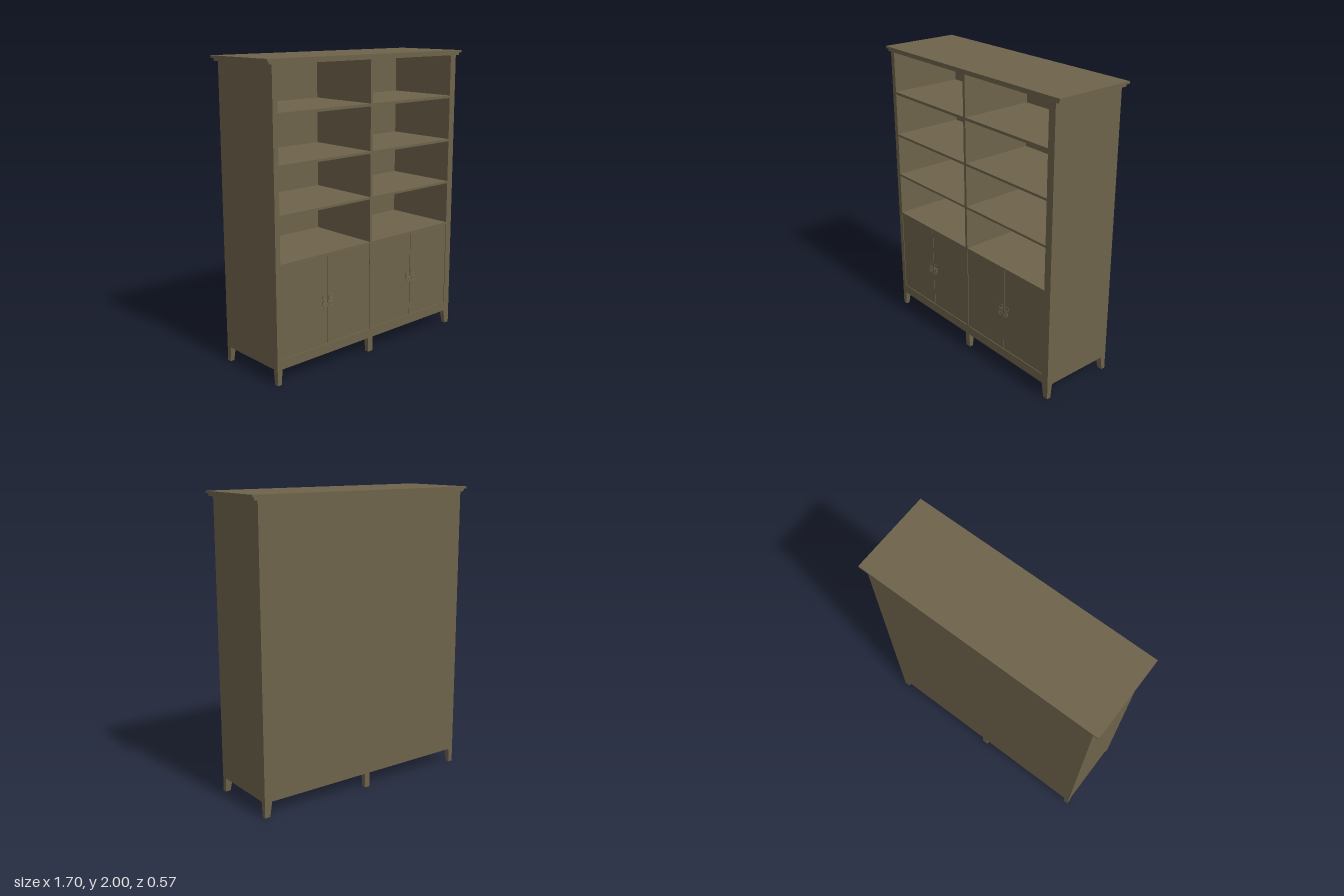
import * as THREE from 'three';

export function createModel() {
  const group = new THREE.Group();
  const wood = new THREE.MeshStandardMaterial({ color: 0x6e634b, flatShading: true });
  const metal = new THREE.MeshStandardMaterial({ color: 0x6e634b, flatShading: true });

  // Box given by its limits on each axis
  const box = (name, x0, x1, y0, y1, z0, z1) => {
    const mesh = new THREE.Mesh(new THREE.BoxGeometry(x1 - x0, y1 - y0, z1 - z0), wood);
    mesh.position.set((x0 + x1) / 2, (y0 + y1) / 2, (z0 + z1) / 2);
    mesh.name = name;
    group.add(mesh);
    return mesh;
  };

  const L = -0.808, R = 0.804, BACK = -0.266, FRONT = 0.27;
  const BASE = 0.1, FLOOR = 0.165, TOP = 1.967;
  const bays = [[-0.772, -0.02], [0, 0.752]];

  // Carcass
  box('leftSidePanel', bays[1][1], R, BASE, TOP, BACK, FRONT);
  box('rightSidePanel', L, bays[0][0], BASE, TOP, BACK, FRONT);
  box('centreDivider', bays[0][1], bays[1][0], FLOOR, TOP, BACK + 0.014, FRONT);
  box('backPanel', bays[0][0], bays[1][1], BASE, TOP, BACK, BACK + 0.014);
  box('basePlinth', bays[0][0], bays[1][1], BASE, FLOOR, BACK + 0.014, FRONT);

  // Stepped cornice
  box('corniceMoulding', -0.832, 0.832, TOP, 1.985, -0.274, 0.274);
  box('topBoard', -0.848, 0.848, 1.985, 2, -0.283, 0.283);

  // Drop pull: back plate, pivot and a tilted flared drop
  const dropShape = new THREE.Shape([
    [-0.008, 0], [-0.011, -0.016], [-0.02, -0.024], [-0.019, -0.036], [-0.013, -0.048],
    [0.013, -0.048], [0.019, -0.036], [0.02, -0.024], [0.011, -0.016], [0.008, 0],
  ].map(([x, y]) => new THREE.Vector2(x, y)));
  dropShape.holes.push(new THREE.Path([
    [-0.011, -0.026], [0.011, -0.026], [0.008, -0.039], [-0.008, -0.039],
  ].map(([x, y]) => new THREE.Vector2(x, y))));
  const dropGeo = new THREE.ExtrudeGeometry(dropShape, { depth: 0.004, bevelEnabled: false });
  const plateShape = new THREE.Shape([
    [-0.017, 0.03], [-0.012, -0.03], [0.012, -0.03], [0.017, 0.03],
  ].map(([x, y]) => new THREE.Vector2(x, y)));
  const plateGeo = new THREE.ExtrudeGeometry(plateShape, { depth: 0.003, bevelEnabled: false });
  const pivotGeo = new THREE.CylinderGeometry(0.004, 0.004, 0.024, 8).rotateZ(Math.PI / 2);

  const addPull = (x) => {
    const pull = new THREE.Group();
    pull.name = 'doorPull';
    const plate = new THREE.Mesh(plateGeo, metal);
    plate.name = 'pullPlate';
    const pivot = new THREE.Mesh(pivotGeo, metal);
    pivot.name = 'pullPivot';
    pivot.position.set(0, 0.002, 0.005);
    const drop = new THREE.Mesh(dropGeo, metal);
    drop.name = 'pullDrop';
    drop.position.set(0, 0.002, 0.004);
    drop.rotation.x = -0.14;
    pull.add(plate, pivot, drop);
    pull.position.set(x, 0.469, FRONT - 0.003);
    group.add(pull);
  };

  // Shelves and a pair of inset doors in each bay
  const shelves = [[0.762, 0.776], [1.065, 1.08], [1.367, 1.383], [1.672, 1.69]];
  const gap = 0.002;
  for (const [x0, x1] of bays) {
    for (const [y0, y1] of shelves) box('shelf', x0, x1, y0, y1, BACK + 0.014, FRONT);
    const mid = (x0 + x1) / 2;
    for (const [a, b] of [[x0, mid], [mid, x1]]) {
      box('door', a + gap, b - gap, FLOOR + gap, 0.76, FRONT - 0.02, FRONT - 0.003);
    }
    addPull(mid - 0.027);
    addPull(mid + 0.027);
  }

  // Legs: the inner faces of each foot draw in toward the floor
  const addLeg = (name, x0, x1, inX0, inX1, front) => {
    const z0 = front ? 0.23 : BACK, z1 = front ? FRONT : -0.226;
    const leg = box(name, x0, x1, 0, BASE, z0, z1);
    const p = leg.geometry.attributes.position;
    for (let i = 0; i < p.count; i++) {
      if (p.getY(i) > 0) continue;
      p.setX(i, p.getX(i) + (p.getX(i) < 0 ? inX0 : -inX1));
      if (front && p.getZ(i) < 0) p.setZ(i, p.getZ(i) + 0.012);
      if (!front && p.getZ(i) > 0) p.setZ(i, p.getZ(i) - 0.012);
    }
    leg.geometry.computeVertexNormals();
  };
  for (const front of [true, false]) {
    const end = front ? 'front' : 'back';
    addLeg(end + 'RightLeg', L, -0.77, 0, 0.008, front);
    addLeg(end + 'LeftLeg', 0.75, R, 0.017, 0, front);
    addLeg(end + 'CentreLeg', -0.03, 0.01, 0, 0, front);
  }

  return group;
}
